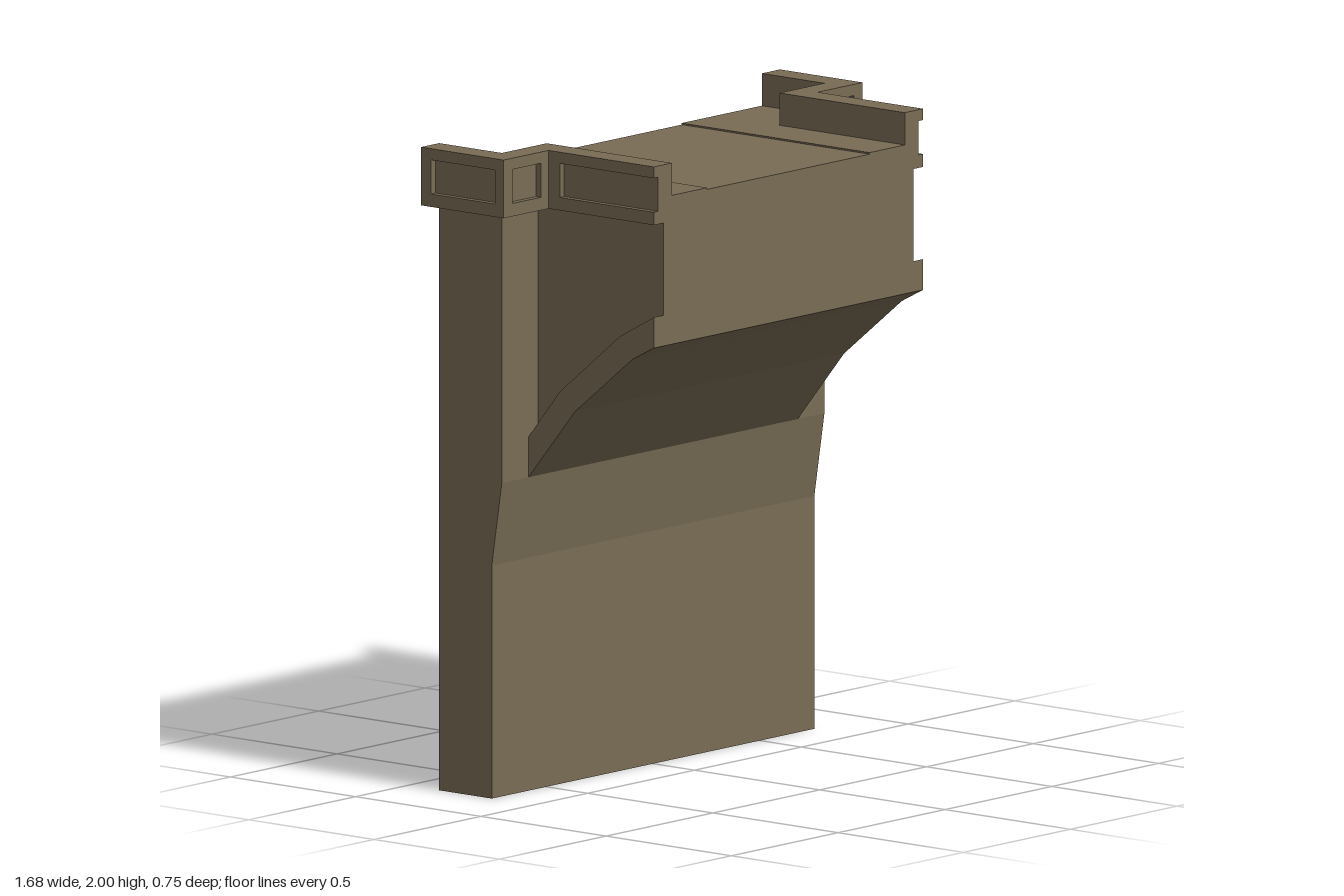
import * as THREE from 'three';

const olive = new THREE.MeshStandardMaterial({ color: 0x786c55 });
olive.name = 'olive drab';

const toShape = (pts) => new THREE.Shape(pts.map(([a, b]) => new THREE.Vector2(a, b)));

function addMesh(parent, name, geometry) {
  const mesh = new THREE.Mesh(geometry, olive);
  mesh.name = name;
  parent.add(mesh);
}

// Side profile of (z, y) points, extruded across x and centred
function acrossX(pts, width) {
  const g = new THREE.ExtrudeGeometry(toShape(pts), { depth: width, bevelEnabled: false });
  return g.translate(0, 0, -width / 2).rotateY(-Math.PI / 2);
}

// Plan of (x, z) points, extruded from y0 up to y1; side is 1 or -1
function fromPlan(pts, y0, y1, side) {
  const shape = toShape(pts.map(([x, z]) => [x * side, z]));
  const g = new THREE.ExtrudeGeometry(shape, { depth: y1 - y0, bevelEnabled: false });
  return g.rotateX(Math.PI / 2).translate(0, y1, 0);
}

export function createModel() {
  const model = new THREE.Group();
  model.name = 'pouch';
  const back = -0.375, front = 0.375, step = -0.125, deck = 1.895;

  // Tall back panel, thickening above its lower part
  addMesh(model, 'backPanel', acrossX([
    [back, 0], [-0.165, 0], [-0.165, 0.72], [step, 0.98], [step, deck], [back, deck],
  ], 1.51));

  // Overhanging front box
  addMesh(model, 'frontBox', acrossX([
    [step, 1.04], [0.03, 1.23], [0.265, 1.43], [front, 1.49], [front, deck], [step, deck],
  ], 1.17));

  // Wider curved band along the underside of the box
  addMesh(model, 'undersideBand', acrossX([
    [step, 0.98], [0.06, 1.205], [0.29, 1.395], [front, 1.44],
    [front, 1.535], [0.24, 1.46], [0, 1.26], [step, 1.105],
  ], 1.26));

  // Stepped rim in plan: plain, and with the side and front recesses cut in
  const inner = [[0.545, front], [0.545, step], [0.755, step], [0.755, back]];
  const plainRim = [[0.84, back], [0.84, -0.045], [0.63, -0.045], [0.63, front], ...inner];
  const recessedRim = [
    [0.84, back], [0.84, -0.335], [0.82, -0.335], [0.82, -0.08], [0.84, -0.08], [0.84, -0.045],
    [0.8, -0.045], [0.8, -0.065], [0.665, -0.065], [0.665, -0.045], [0.63, -0.045],
    [0.63, 0], [0.61, 0], [0.61, front], ...inner,
  ];
  const deckPlate = [[0.38, back], [0.755, back], [0.755, step], [0.545, step], [0.545, front], [0.38, front]];

  for (const side of [1, -1]) {
    const group = new THREE.Group();
    group.name = side > 0 ? 'leftRim' : 'rightRim';
    addMesh(group, 'lowerRail', fromPlan(plainRim, 1.82, 1.86, side));
    addMesh(group, 'recessedRail', fromPlan(recessedRim, 1.86, 1.965, side));
    addMesh(group, 'upperRail', fromPlan(plainRim, 1.965, 2, side));
    // Slightly raised part of the top beside the rim
    addMesh(group, 'deckPlate', fromPlan(deckPlate, deck, 1.9, side));
    model.add(group);
  }
  return model;
}
